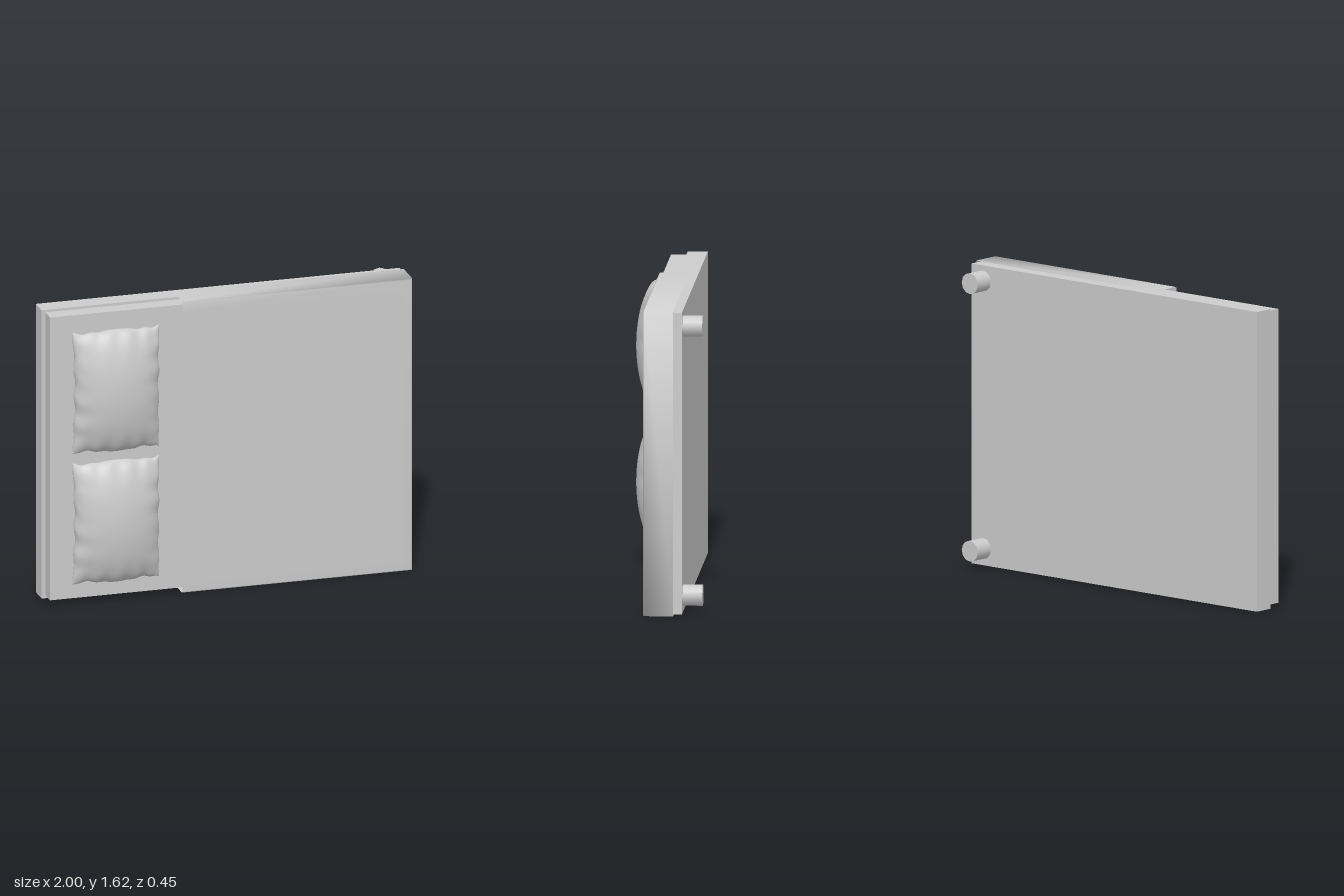
import * as THREE from 'three';

const material = new THREE.MeshStandardMaterial({ color: 0xcccccc, side: THREE.DoubleSide });

function add(group, name, geometry, x = 0, y = 0, z = 0) {
  const mesh = new THREE.Mesh(geometry, material);
  mesh.name = name;
  mesh.position.set(x, y, z);
  group.add(mesh);
  return mesh;
}

// Box given by its limits on each axis
function addBox(group, name, [x0, x1], [y0, y1], [z0, z1]) {
  const box = new THREE.BoxGeometry(x1 - x0, y1 - y0, z1 - z0);
  return add(group, name, box, (x0 + x1) / 2, (y0 + y1) / 2, (z0 + z1) / 2);
}

// Duvet: a cover with three hanging sides, open at the head end and the underside
function duvetGeometry(x0, x1, height, zFront, zRim) {
  const positions = [], index = [0, 1, 2, 0, 2, 3];
  for (const [inset, z] of [[0.06, zFront], [0.006, zFront], [0, zFront - 0.006], [0, zRim]]) {
    positions.push(x0, inset, z, x1 - inset, inset, z, x1 - inset, height - inset, z, x0, height - inset, z);
  }
  for (let ring = 0; ring < 3; ring++) {
    for (let i = 0; i < 3; i++) {
      const a = ring * 4 + i, b = a + 1, c = b + 4, d = a + 4;
      index.push(d, c, b, d, b, a);
    }
  }
  const geometry = new THREE.BufferGeometry();
  geometry.setAttribute('position', new THREE.Float32BufferAttribute(positions, 3));
  geometry.setIndex(index);
  geometry.computeVertexNormals();
  return geometry;
}

// One face of a pillow: puffed front, or saddle-shaped back, meeting at a puckered seam
function pillowFace(isFront) {
  const halfW = 0.237, halfH = 0.338;
  const geometry = new THREE.PlaneGeometry(2, 2, 40, 56);
  const p = geometry.attributes.position;
  for (let i = 0; i < p.count; i++) {
    // Rows gather towards the seam so that the rim stays round
    const u = Math.sin(p.getX(i) * Math.PI / 2), v = Math.sin(p.getY(i) * Math.PI / 2);
    const ku = Math.max(0, 1 - u * u), kv = Math.max(0, 1 - v * v);
    const sideX = 1 - 0.035 * kv * (1 + 0.6 * Math.sin(14 * v + u));
    const sideY = 1 - 0.035 * (4 * u * u * ku) * (1 + 0.4 * Math.sin(15 * u + v));
    // Creases run inwards from the seam and fade at the middle
    const crease = 0.006 * (Math.sin(17 * v + 2 * u) * u ** 4 * kv + Math.sin(13 * u - 2 * v) * v ** 4 * ku);
    const seam = 0.12 - 0.01 * u * u * v * v;
    const puff = Math.pow(ku, 0.5) * Math.pow(kv, 0.6);
    const z = isFront
      ? seam + 0.108 * puff + crease * Math.min(1, 4 * puff)
      : seam + 0.008 * ku * kv - (0.012 + 0.075 * (v * v + 0.3 * u * u)) * Math.min(1, 1.6 * puff) + crease * puff;
    p.setXYZ(i, u * halfW * sideX, v * halfH * sideY, z);
  }
  if (!isFront) {
    // Turn the back face outwards
    const index = geometry.index.array;
    for (let i = 0; i < index.length; i += 3) [index[i], index[i + 1]] = [index[i + 1], index[i]];
  }
  geometry.computeVertexNormals();
  return geometry;
}

export function createModel() {
  const bed = new THREE.Group();
  bed.name = 'bed';

  // Frame and mattress
  addBox(bed, 'bedBase', [-1, 0.99], [0.01, 1.612], [-0.122, -0.016]);
  addBox(bed, 'mattress', [-0.98, 0.975], [0.027, 1.598], [-0.016, 0.07]);

  // Bedding
  add(bed, 'duvet', duvetGeometry(-0.26, 1, 1.62, 0.083, -0.076));
  const front = pillowFace(true), back = pillowFace(false);
  for (const y of [0.453, 1.178]) {
    const pillow = new THREE.Group();
    pillow.name = 'pillow';
    pillow.position.set(-0.632, y, 0);
    add(pillow, 'pillowFront', front);
    add(pillow, 'pillowBack', back);
    bed.add(pillow);
  }

  // Feet at the foot end
  const foot = new THREE.CylinderGeometry(0.056, 0.056, 0.11, 12).rotateX(Math.PI / 2);
  for (const y of [0.1, 1.53]) add(bed, 'foot', foot, 0.911, y, -0.172);

  return bed;
}
